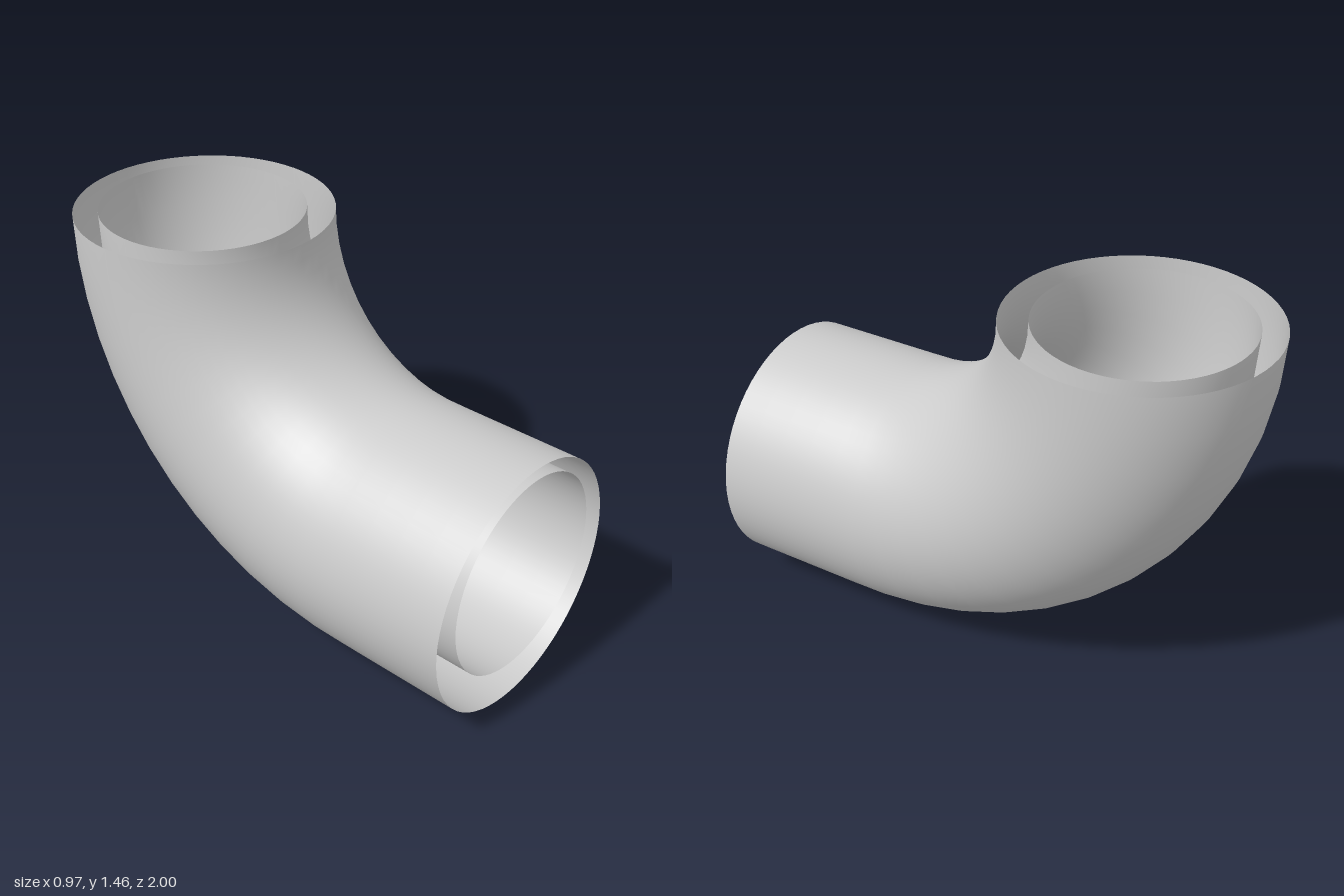
import * as THREE from 'three';

// Straight run from the front end, then a quarter bend up to the top end
class ElbowCurve extends THREE.Curve {
  constructor(height, frontZ, topY, topZ) {
    super();
    this.frontZ = frontZ;
    this.topY = topY;
    this.radius = topY - height;
    this.bendZ = topZ + this.radius;
    this.straight = frontZ - this.bendZ;
  }
  getPoint(t, target = new THREE.Vector3()) {
    const s = t * (this.straight + this.radius * Math.PI / 2);
    const a = Math.max(0, s - this.straight) / this.radius;
    const z = s < this.straight ? this.frontZ - s : this.bendZ - this.radius * Math.sin(a);
    return target.set(0, this.topY - this.radius * Math.cos(a), z);
  }
}

export function createModel() {
  const group = new THREE.Group();
  group.name = 'pipeElbow';
  const material = new THREE.MeshStandardMaterial({ color: 0xcccccc, side: THREE.DoubleSide });

  const addPipe = (name, radius, height, topZ) => {
    const path = new ElbowCurve(height, 1, 1.455, topZ);
    const pipe = new THREE.Mesh(new THREE.TubeGeometry(path, 17, radius, 64), material);
    pipe.name = name;
    group.add(pipe);
  };

  // Two nested open shells, the inner one slightly off centre
  addPipe('outerPipe', 0.485, 0.485, -0.515);
  addPipe('innerPipe', 0.386, 0.537, -0.525);

  return group;
}
